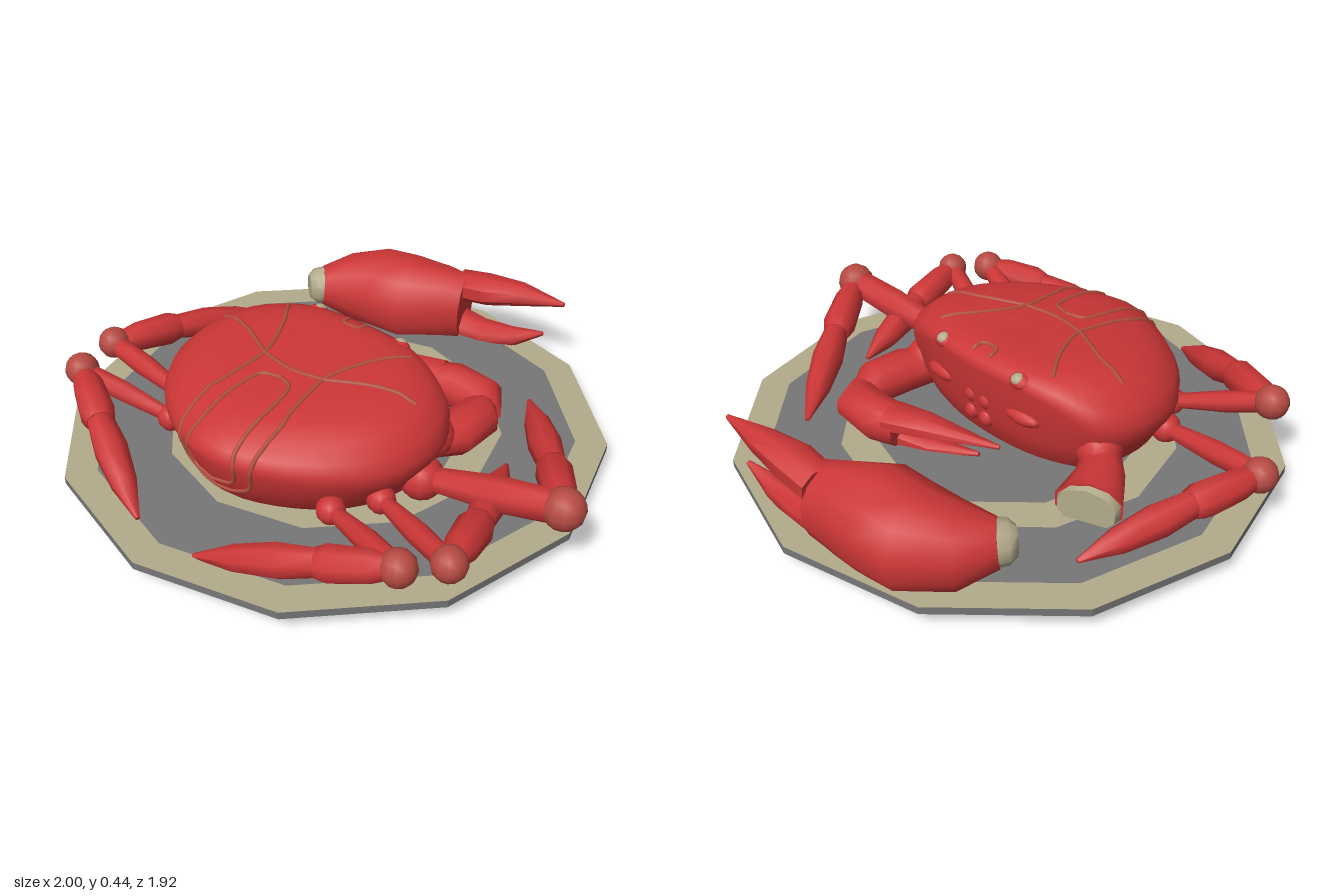
import * as THREE from 'three';
import { toCreasedNormals } from 'three/addons/utils/BufferGeometryUtils.js';

const V = (x, y, z) => new THREE.Vector3(x, y, z);
const paint = (color, side = THREE.FrontSide) => new THREE.MeshStandardMaterial({ color, side });
const RED = paint(0xcc3636), JOINT = paint(0xb64a42), SEAM = paint(0xb4503f), TAN = paint(0xb3ab8b), GREY = paint(0x777777);
const CX = -0.04; // body and plate sit slightly to one side

// closed skin over a list of rings of points, capped at both ends
function skin(rings, crease) {
  const n = rings[0].length, pos = [], idx = [];
  const mid = r => r.reduce((s, p) => s.add(p), V(0, 0, 0)).divideScalar(n);
  const all = [...rings.flat(), mid(rings[0]), mid(rings.at(-1))];
  all.forEach(p => pos.push(p.x, p.y, p.z));
  const c0 = all.length - 2, c1 = c0 + 1, last = (rings.length - 1) * n;
  for (let j = 0; j < n; j++) {
    const k = (j + 1) % n;
    for (let i = 0; i < last; i += n) idx.push(i + j, i + k, i + n + j, i + k, i + n + k, i + n + j);
    idx.push(c0, k, j, c1, last + j, last + k);
  }
  const g = new THREE.BufferGeometry();
  g.setAttribute('position', new THREE.Float32BufferAttribute(pos, 3));
  g.setIndex(idx);
  return toCreasedNormals(g, crease);
}

// tapering limb through stations [x, y, z, half width, half height]
function limb(stations, sides = 8) {
  const pts = stations.map(s => V(s[0], s[1], s[2]));
  return skin(stations.map((s, i) => {
    const t = pts[Math.min(i + 1, pts.length - 1)].clone().sub(pts[Math.max(i - 1, 0)]).normalize();
    const side = V(0, 1, 0).cross(t).normalize(), up = t.clone().cross(side);
    return Array.from({ length: sides }, (_, j) => {
      const a = (j + 0.5) / sides * Math.PI * 2;
      return pts[i].clone().addScaledVector(side, Math.cos(a) * s[3]).addScaledVector(up, Math.sin(a) * s[4]);
    });
  }), 0.85);
}

// body shell: half outline of [x, rim height, z], front to back, mirrored
function bodyGeometry() {
  const half = [[0, 0.31, 0.63], [0.2, 0.3, 0.57], [0.39, 0.29, 0.44], [0.5, 0.28, 0.28], [0.52, 0.29, 0.1],
    [0.46, 0.31, -0.04], [0.34, 0.37, -0.11], [0.2, 0.4, -0.15], [0, 0.4, -0.165]];
  const other = half.slice(1, -1).reverse().map(([x, y, z]) => [-x, y, z]);
  const rim = new THREE.CatmullRomCurve3([...half, ...other].map(p => V(...p)), true).getPoints(48).slice(0, 48);
  const ring = (s, height) => rim.map(p => {
    const z = 0.15 + s * (p.z - 0.15);
    return V(CX + s * p.x, height(p.y, 0.437 - 0.085 * z), z);
  });
  const lower = [[0.5, 0.045], [0.75, 0.06], [0.88, 0.13], [0.95, 0.2]].map(([s, y]) => ring(s, () => y));
  const upper = [[1, -0.3], [1, 0], [0.96, 0.35], [0.85, 0.72], [0.7, 0.96], [0.5, 1.02], [0.2, 1.04]]
    .map(([s, k]) => ring(s, (rimY, top) => rimY + k * (top - rimY)));
  return skin([...lower, ...upper], 0.75);
}

export function createModel() {
  const model = new THREE.Group();
  const add = (name, geo, mat = RED, parent = model) => {
    const m = new THREE.Mesh(geo, mat);
    m.name = name;
    parent.add(m);
    return m;
  };
  const ball = (name, x, y, z, r, mat = JOINT, parent = model, scale = [1, 1, 1]) => {
    const m = add(name, new THREE.SphereGeometry(r, 12, 8), mat, parent);
    m.position.set(x, y, z);
    m.scale.set(...scale);
    return m;
  };

  // twelve-sided plate with two pale bands
  const plate = new THREE.Group();
  plate.name = 'plate';
  plate.position.x = CX;
  model.add(plate);
  const lathe = (name, pts, mat) => add(name,
    toCreasedNormals(new THREE.LatheGeometry(pts.map(p => new THREE.Vector2(...p)), 12), 0.2), mat, plate);
  lathe('plateUnderside', [[0, 0.045], [0.85, 0.045], [0.96, 0.065], [0.96, 0.092]], GREY);
  [['plateRim', 0.96, 0.85, TAN], ['plateOuter', 0.85, 0.595, GREY], ['plateBand', 0.595, 0.47, TAN],
    ['plateCentre', 0.47, 0, GREY]].forEach(([n, a, b, m]) => lathe(n, [[a, 0.092], [b, 0.092]], m));

  // body
  const body = add('body', bodyGeometry());

  // pale seams laid on the shell
  const ray = new THREE.Raycaster();
  const seam = (name, pts) => {
    const path = new THREE.CatmullRomCurve3(pts.map(p => V(CX + p[0], p[1], p[2]))).getPoints(36);
    const laid = path.map(p => {
      const target = V(p.x, Math.min(p.y, 0.25), Math.min(p.z, 0.4));
      ray.set(p, target.sub(p).normalize());
      return ray.intersectObject(body)[0]?.point;
    }).filter(Boolean);
    if (laid.length > 2) add(name, new THREE.TubeGeometry(new THREE.CatmullRomCurve3(laid), 60, 0.008, 6), SEAM);
  };
  for (const s of [1, -1]) {
    seam('shellSeam', [[0.27, 0.7, -0.07], [0.19, 0.7, 0.05], [0.13, 0.7, 0.2], [0.14, 0.7, 0.33], [0.16, 0.7, 0.5],
      [0.16, 0.5, 0.8], [0.15, 0.3, 0.9], [0.13, 0.2, 0.9], [0.06, 0.165, 0.9], [0, 0.16, 0.9]]);
    model.children.at(-1).scale.x = s;
    model.children.at(-1).position.x = s < 0 ? 2 * CX : 0;
    seam('tailSeam', [[0, 0.7, 0.28], [0.06, 0.7, 0.3], [0.08, 0.7, 0.37], [0.085, 0.7, 0.5], [0.09, 0.5, 0.8],
      [0.1, 0.3, 0.9], [0.08, 0.22, 0.9], [0, 0.2, 0.9]].map(([x, y, z]) => [s * x, y, z]));
    // flank fold, eyes, face plates and mouth parts
    seam('flankSeam', [[0.13, 0.7, 0.21], [0.3, 0.7, 0.13], [0.42, 0.7, 0.1]].map(([x, y, z]) => [s * x, y, z]));
    ball('eye', CX + s * 0.18, 0.41, -0.135, 0.026, TAN, model, [1, 0.8, 1]);
    ball('eyeSocket', CX + s * 0.18, 0.4, -0.125, 0.036, RED, model, [1.3, 0.8, 1]);
    ball('facePlate', CX + s * 0.19, 0.27, -0.125, 0.06, RED, model, [1.3, 0.5, 0.6]);
    for (const y of [0.19, 0.26]) ball('mouthPart', CX + s * 0.035, y, -0.13, 0.036, RED, model, [0.9, 1, 1]);
    // belly plates
    [[-0.01, 0.2], [0.1, 0.21], [0.21, 0.2], [0.32, 0.17], [0.43, 0.12]].forEach(([z, w]) =>
      ball('bellyPlate', CX + s * (w * 0.8 + 0.01), 0.055, z, 1, RED, model, [w * 0.85, 0.036, 0.058]));
  }
  seam('tailCrossSeam', [[-0.13, 0.7, 0.21], [0, 0.7, 0.23], [0.13, 0.7, 0.21]]);
  seam('browSeam', [[-0.04, 0.7, -0.13], [-0.03, 0.7, -0.09], [0.03, 0.7, -0.09], [0.04, 0.7, -0.13]]);

  // walking legs: [hip, knee, ankle, tip], knee radius, thigh radius
  const legs = [
    [[-0.5, 0.15, 0.3], [-0.905, 0.19, 0.265], [-0.83, 0.17, 0.01], [-0.71, 0.1, -0.37], 0.06, 0.038],
    [[-0.42, 0.16, 0.43], [-0.755, 0.27, 0.53], [-0.52, 0.22, 0.655], [-0.17, 0.1, 0.82], 0.06, 0.035],
    [[0.45, 0.17, 0.15], [0.925, 0.25, 0.08], [0.75, 0.18, -0.16], [0.45, 0.1, -0.52], 0.07, 0.055],
    [[0.41, 0.16, 0.31], [0.78, 0.225, 0.47], [0.72, 0.18, 0.22], [0.6, 0.12, -0.13], 0.058, 0.035],
    [[0.32, 0.16, 0.45], [0.68, 0.23, 0.58], [0.46, 0.19, 0.68], [0.08, 0.09, 0.82], 0.06, 0.035],
  ];
  for (const [h, k, a, t, r, w] of legs) {
    const leg = new THREE.Group();
    leg.name = 'leg';
    model.add(leg);
    const mix = (p, q, f, rw, rh = rw) => [...p.map((v, i) => v + (q[i] - v) * f), rw, rh];
    add('thigh', limb([mix(h, k, 0, w * 0.7), mix(h, k, 0.55, w * 1.1), mix(h, k, 0.95, w)]), RED, leg);
    ball('knee', ...k, r, JOINT, leg);
    add('shin', limb([mix(k, a, 0.1, 0.038), mix(k, a, 0.35, 0.055), mix(k, a, 0.85, 0.062), mix(k, a, 1, 0.05)]), RED, leg);
    add('foot', limb([mix(a, t, -0.04, 0.045), mix(a, t, 0.3, 0.058), mix(a, t, 0.65, 0.045), mix(a, t, 1, 0.008)]), RED, leg);
    ball('hip', ...h, w * 1.4, RED, leg);
  }

  // attached claw
  add('clawArm', limb([[0.33, 0.17, 0, 0.07, 0.06], [0.39, 0.16, -0.12, 0.09, 0.075], [0.4, 0.16, -0.25, 0.085, 0.075], [0.38, 0.16, -0.31, 0.05, 0.05]], 10));
  add('clawPalm', limb([[0.41, 0.15, -0.3, 0.05, 0.05], [0.35, 0.15, -0.36, 0.085, 0.075], [0.22, 0.15, -0.37, 0.085, 0.08], [0.13, 0.15, -0.345, 0.075, 0.07]], 10));
  add('clawUpperFinger', limb([[0.17, 0.18, -0.36, 0.075, 0.045], [0.04, 0.19, -0.32, 0.06, 0.04], [-0.2, 0.16, -0.2, 0.008, 0.008]]));
  add('clawLowerFinger', limb([[0.17, 0.11, -0.34, 0.06, 0.04], [0.04, 0.09, -0.29, 0.045, 0.03], [-0.12, 0.1, -0.22, 0.008, 0.008]]));
  ball('clawShoulder', 0.36, 0.19, -0.03, 0.08, RED);

  // broken arm stump with pale flesh at its end
  add('stump', limb([[-0.46, 0.17, 0.02, 0.06, 0.06], [-0.53, 0.15, -0.07, 0.085, 0.075], [-0.59, 0.14, -0.19, 0.115, 0.09]], 10));
  add('stumpFlesh', limb([[-0.588, 0.14, -0.185, 0.108, 0.085], [-0.6, 0.14, -0.215, 0.1, 0.075]], 10), TAN);
  ball('stumpShoulder', -0.46, 0.19, 0, 0.08, RED);

  // loose big claw
  const claw = new THREE.Group();
  claw.name = 'looseClaw';
  model.add(claw);
  add('palm', limb([[-0.57, 0.2, -0.56, 0.075, 0.08], [-0.49, 0.19, -0.64, 0.135, 0.135], [-0.37, 0.185, -0.71, 0.175, 0.17],
    [-0.24, 0.183, -0.725, 0.175, 0.182], [-0.1, 0.185, -0.78, 0.12, 0.16], [-0.03, 0.185, -0.8, 0.1, 0.14]], 12), RED, claw);
  add('palmFlesh', limb([[-0.55, 0.2, -0.58, 0.075, 0.078], [-0.585, 0.2, -0.535, 0.07, 0.072], [-0.6, 0.2, -0.515, 0.045, 0.05]], 10), TAN, claw);
  add('upperFinger', limb([[-0.06, 0.27, -0.82, 0.07, 0.06], [0.06, 0.29, -0.825, 0.075, 0.06], [0.2, 0.31, -0.845, 0.05, 0.045], [0.37, 0.32, -0.86, 0.008, 0.008]]), RED, claw);
  add('lowerFinger', limb([[-0.06, 0.11, -0.8, 0.07, 0.065], [0.06, 0.1, -0.81, 0.06, 0.055], [0.18, 0.12, -0.83, 0.04, 0.04], [0.3, 0.17, -0.85, 0.008, 0.008]]), RED, claw);

  return model;
}
